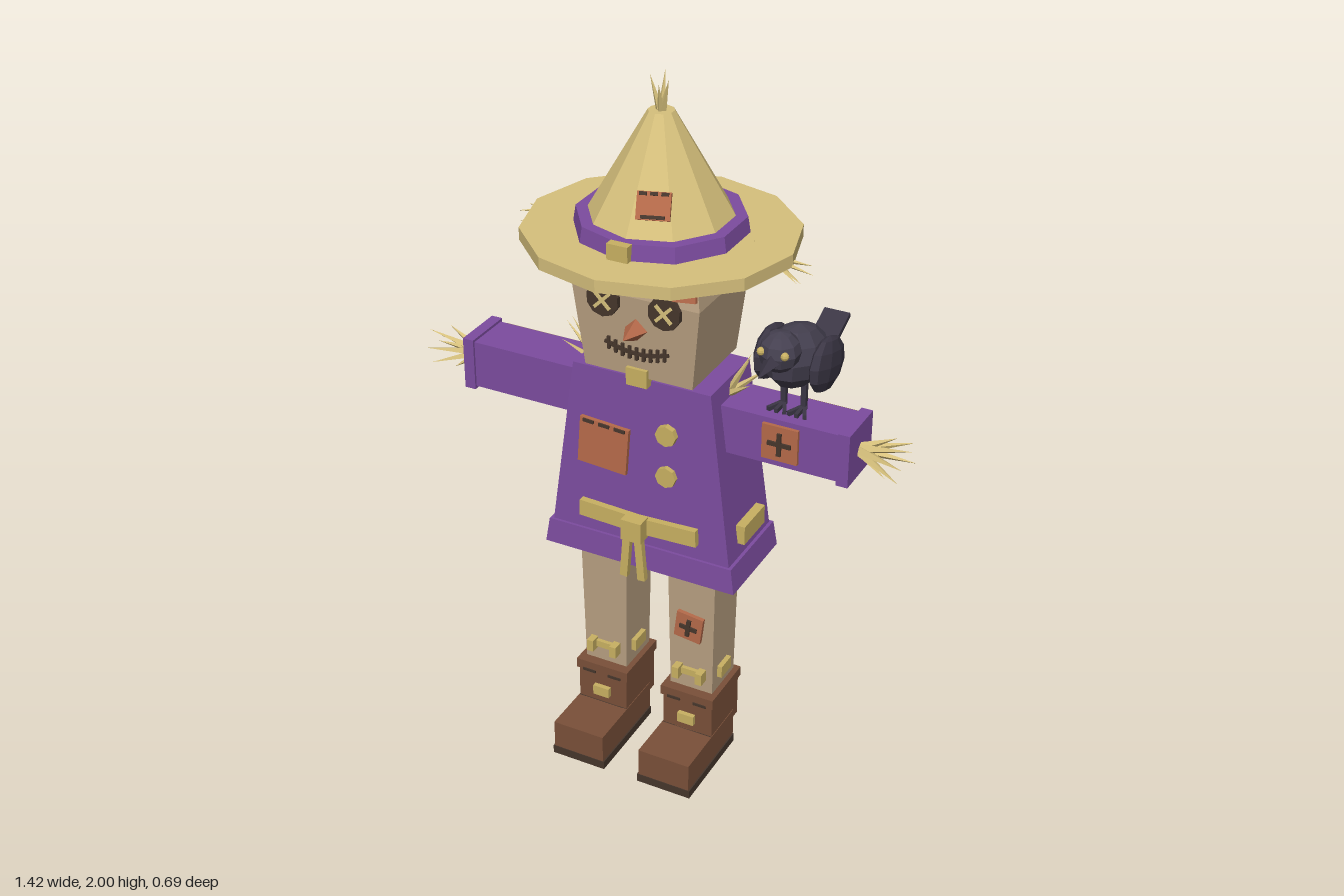
import * as THREE from 'three';

const paint = (name, color) => Object.assign(new THREE.MeshStandardMaterial({ color }), { name });
const M = {
  purple: paint('purple cloth', 0x7c4c9f), straw: paint('straw', 0xd6c07c), rope: paint('rope', 0xc8b062),
  burlap: paint('burlap', 0xb8a081), patch: paint('rust patch', 0xb56a4a), boot: paint('boot leather', 0x7a5039),
  dark: paint('dark thread', 0x46362c), wood: paint('wood', 0x8f7148), crow: paint('crow black', 0x454050),
  wing: paint('wing black', 0x3b3645),
};

function mesh(parent, name, geo, mat, x = 0, y = 0, z = 0, rot = [0, 0, 0]) {
  const m = new THREE.Mesh(geo, mat);
  m.name = name;
  m.position.set(x, y, z);
  m.rotation.set(...rot);
  parent.add(m);
  return m;
}
const box = (p, name, mat, w, h, d, x, y, z, rot) => mesh(p, name, new THREE.BoxGeometry(w, h, d), mat, x, y, z, rot);

// Bakes faceted normals
function facet(geo) {
  const g = geo.index ? geo.toNonIndexed() : geo;
  g.computeVertexNormals();
  return g;
}

// Four-sided tapered block through sections [y, half width, half depth]
function block(p, name, mat, sections, x = 0, z = 0) {
  const n = sections.length - 1;
  const geo = new THREE.BoxGeometry(2, 1, 2, 1, n, 1);
  const a = geo.attributes.position;
  for (let i = 0; i < a.count; i++) {
    const [y, w, d] = sections[Math.round((a.getY(i) + 0.5) * n)];
    a.setXYZ(i, a.getX(i) * w, y, a.getZ(i) * d);
  }
  return mesh(p, name, facet(geo), mat, x, 0, z);
}

// Thin straws from one root to several tips
function tuft(p, name, root, tips, r = 0.011) {
  const g = new THREE.Group();
  g.name = name;
  const a = new THREE.Vector3(...root), up = new THREE.Vector3(0, 1, 0);
  for (const tip of tips) {
    const d = new THREE.Vector3(...tip).sub(a), len = d.length();
    const m = mesh(g, 'straw', facet(new THREE.ConeGeometry(r, len, 4)), M.straw);
    m.position.copy(a).addScaledVector(d, 0.5);
    m.quaternion.setFromUnitVectors(up, d.normalize());
  }
  p.add(g);
}

// Sewn patch with either a cross or rows of stitches
function patch(p, name, w, h, x, y, z, rot, cross) {
  const g = new THREE.Group();
  g.name = name;
  g.position.set(x, y, z);
  g.rotation.set(rot[0], rot[1], rot[2], 'YXZ');
  box(g, 'patchCloth', M.patch, w, h, 0.012, 0, 0, 0);
  if (cross) {
    box(g, 'crossStitch', M.dark, w * 0.65, 0.012, 0.009, 0, 0, 0.007);
    box(g, 'crossStitch', M.dark, 0.012, h * 0.65, 0.009, 0, 0, 0.008);
  } else {
    for (let i = -1; i <= 1; i++) box(g, 'edgeStitch', M.dark, w * 0.22, 0.009, 0.009, i * w * 0.32, h / 2 - 0.006, 0.006);
  }
  p.add(g);
}

const ball = (p, name, mat, rx, ry, rz, x, y, z, rot) =>
  mesh(p, name, facet(new THREE.SphereGeometry(1, 9, 6).scale(rx, ry, rz)), mat, x, y, z, rot);

function addLeg(p, s) {
  const g = new THREE.Group();
  g.name = s > 0 ? 'leftLeg' : 'rightLeg';
  g.position.x = s * 0.135;
  p.add(g);
  block(g, 'leg', M.burlap, [[0.2, 0.064, 0.068], [0.68, 0.072, 0.074]], 0, 0.01);
  // Ankle rope
  for (const e of [-1, 1]) {
    box(g, 'ropeSide', M.rope, 0.014, 0.036, 0.06, e * 0.073, 0.3, 0.02);
    box(g, 'ropeFront', M.rope, 0.02, 0.036, 0.03, e * 0.036, 0.3, 0.095);
    box(g, 'ropeBack', M.rope, 0.02, 0.036, 0.02, e * 0.036, 0.3, -0.066);
  }
  box(g, 'ropeFront', M.rope, 0.07, 0.02, 0.016, 0, 0.3, 0.083);
  box(g, 'ropeBack', M.rope, 0.07, 0.02, 0.012, 0, 0.3, -0.062);
  // Boot
  block(g, 'bootShaft', M.boot, [[0.08, 0.076, 0.084], [0.22, 0.076, 0.084]], 0, 0.018);
  box(g, 'bootCuff', M.boot, 0.162, 0.03, 0.18, 0, 0.225, 0.018);
  for (const e of [-1, 1]) box(g, 'cuffThread', M.dark, 0.04, 0.008, 0.186, e * 0.04, 0.212, 0.018);
  box(g, 'bootFoot', M.boot, 0.156, 0.085, 0.285, 0, 0.067, 0.106);
  box(g, 'bootSole', M.dark, 0.164, 0.025, 0.285, 0, 0.0125, 0.108);
  box(g, 'bootStrap', M.dark, 0.154, 0.009, 0.006, 0, 0.105, 0.102);
  box(g, 'bootBuckle', M.rope, 0.05, 0.03, 0.014, 0, 0.153, 0.109);
}

function addArm(p, s) {
  const g = new THREE.Group();
  g.name = s > 0 ? 'leftArm' : 'rightArm';
  p.add(g);
  box(g, 'sleeve', M.purple, 0.4, 0.135, 0.136, s * 0.345, 1.097, 0);
  box(g, 'cuff', M.purple, 0.032, 0.15, 0.15, s * 0.55, 1.097, 0);
  const tips = [[0.712, 1.14, 0.02], [0.712, 1.085, -0.02], [0.64, 1.035, 0.01], [0.69, 1.055, 0.05],
    [0.69, 1.12, -0.055], [0.7, 1.1, 0.055], [0.66, 1.15, -0.01], [0.68, 1.065, -0.05]];
  tuft(g, 'strawHand', [s * 0.555, 1.097, 0], tips.map(([x, y, z]) => [s * x, y, z]), 0.016);
  tuft(g, 'shoulderStraw', [s * 0.19, 1.16, 0], [[0.26, 1.285, 0.01], [0.295, 1.25, -0.02], [0.275, 1.225, 0.04],
    [0.24, 1.27, -0.04]].map(([x, y, z]) => [s * x, y, z]), 0.013);
}

function addBird(p) {
  const g = new THREE.Group();
  g.name = 'bird';
  g.position.x = 0.375;
  p.add(g);
  ball(g, 'birdBody', M.crow, 0.077, 0.083, 0.128, 0, 1.315, -0.015, [-0.2, 0, 0]);
  ball(g, 'birdHead', M.crow, 0.054, 0.054, 0.058, 0, 1.375, 0.09);
  mesh(g, 'beak', facet(new THREE.ConeGeometry(0.025, 0.09, 4)), M.wing, 0, 1.362, 0.172, [Math.PI / 2 + 0.1, 0, 0]);
  box(g, 'tail', M.wing, 0.072, 0.014, 0.19, 0, 1.277, -0.19, [0.42, 0, 0]);
  for (const s of [-1, 1]) {
    ball(g, 'wing', M.wing, 0.028, 0.075, 0.1, s * 0.076, 1.3, -0.03, [-0.25, 0, 0]);
    ball(g, 'birdEye', M.rope, 0.011, 0.011, 0.011, s * 0.032, 1.386, 0.132);
    box(g, 'birdLeg', M.wing, 0.014, 0.085, 0.014, s * 0.028, 1.208, -0.01);
    for (const t of [-1, 0, 1]) box(g, 'toe', M.wing, 0.01, 0.012, 0.055, s * 0.028 + t * 0.012, 1.171, 0.012, [0, t * 0.4, 0]);
  }
}

export function createModel() {
  const root = new THREE.Group();
  root.name = 'scarecrow';
  for (const s of [-1, 1]) {
    addLeg(root, s);
    addArm(root, s);
  }
  box(root, 'crossPole', M.wood, 1.07, 0.09, 0.045, 0, 1.097, -0.083);

  // Coat with hem
  block(root, 'coat', M.purple, [[0.65, 0.274, 0.128], [1.212, 0.2, 0.114]]);
  block(root, 'coatHem', M.purple, [[0.642, 0.286, 0.138], [0.715, 0.275, 0.134]]);
  patch(root, 'coatPatch', 0.145, 0.135, -0.105, 0.992, 0.127, [-0.03, 0, -0.06], false);
  for (const y of [0.945, 1.07])
    mesh(root, 'button', facet(new THREE.CylinderGeometry(0.03, 0.03, 0.02, 8)), M.rope, 0.08, y, 0.124, [Math.PI / 2, 0, 0]);
  for (const y of [1.065, 1.14]) box(root, 'backStitch', M.rope, 0.14, 0.018, 0.016, 0, y, -0.122);
  box(root, 'backStitch', M.rope, 0.018, 0.09, 0.014, 0, 1.1, -0.121);

  // Rope belt and its knot
  for (const s of [-1, 1]) {
    box(root, 'beltFront', M.rope, 0.175, 0.048, 0.02, s * 0.087, 0.782, 0.133, [0, 0, s * 0.04]);
    box(root, 'beltBack', M.rope, 0.17, 0.046, 0.02, s * 0.083, 0.78, -0.133, [0, 0, s * 0.08]);
    box(root, 'beltSide', M.rope, 0.026, 0.055, 0.125, s * 0.267, 0.782, 0);
    box(root, 'ropeEnd', M.rope, 0.022, 0.15, 0.018, s * 0.021, 0.7, 0.162, [0, 0, s * 0.08]);
  }
  box(root, 'beltKnot', M.rope, 0.06, 0.062, 0.044, 0, 0.778, 0.156);
  patch(root, 'kneePatch', 0.08, 0.082, 0.132, 0.455, 0.088, [0, 0, -0.12], true);
  patch(root, 'sleevePatch', 0.1, 0.1, 0.377, 1.1, 0.072, [0, 0, 0], true);

  // Neck and head
  box(root, 'neck', M.burlap, 0.22, 0.05, 0.17, 0, 1.215, 0);
  box(root, 'neckRope', M.rope, 0.24, 0.016, 0.19, 0, 1.215, 0);
  box(root, 'neckKnot', M.rope, 0.06, 0.05, 0.03, 0, 1.226, 0.125);
  block(root, 'head', M.burlap, [[1.225, 0.155, 0.128], [1.455, 0.18, 0.143], [1.545, 0.162, 0.122]]);
  box(root, 'headTop', M.burlap, 0.2, 0.04, 0.18, 0, 1.55, 0);
  patch(root, 'browPatch', 0.085, 0.075, 0.125, 1.512, 0.137, [-0.2, 0, 0.12], false);

  // Button eyes with crossed threads
  for (const s of [-1, 1]) {
    mesh(root, 'eye', facet(new THREE.CylinderGeometry(0.046, 0.046, 0.02, 10)), M.dark, s * 0.087, 1.436, 0.146, [Math.PI / 2, 0, 0]);
    for (const t of [-1, 1]) box(root, 'eyeThread', M.straw, 0.062, 0.009, 0.006, s * 0.087, 1.436, 0.157, [0, 0, t * Math.PI / 4]);
  }
  mesh(root, 'nose', facet(new THREE.ConeGeometry(0.036, 0.08, 4)), M.patch, 0, 1.365, 0.168, [Math.PI / 2, 0, 0]);
  // Stitched mouth
  for (let i = -4; i <= 4; i++) {
    const y = 1.295 + i * i * 0.0009;
    box(root, 'mouthLine', M.dark, 0.024, 0.009, 0.008, i * 0.02, y, 0.135, [0, 0, i * 0.05]);
    box(root, 'mouthStitch', M.dark, 0.008, 0.036, 0.008, i * 0.02, y, 0.136);
  }

  // Hat
  mesh(root, 'hatBrim', facet(new THREE.CylinderGeometry(0.362, 0.362, 0.034, 12).scale(1, 1, 0.957)), M.straw, 0, 1.578, 0);
  mesh(root, 'hatCrown', facet(new THREE.CylinderGeometry(0.034, 0.215, 0.315, 10)), M.straw, 0, 1.7475, 0);
  mesh(root, 'hatBand', facet(new THREE.CylinderGeometry(0.219, 0.226, 0.044, 10)), M.purple, 0, 1.615, 0);
  box(root, 'hatBuckle', M.rope, 0.058, 0.044, 0.024, 0, 1.616, 0.222);
  patch(root, 'hatPatch', 0.085, 0.07, 0.052, 1.715, 0.14, [-0.48, 0.32, 0], false);
  box(root.getObjectByName('hatPatch'), 'edgeStitch', M.dark, 0.06, 0.009, 0.009, 0, -0.028, 0.006);
  tuft(root, 'hatTipStraw', [0, 1.89, 0], [[-0.026, 1.995, 0.01], [0, 2, -0.02], [0.028, 1.99, 0.015], [0.008, 1.98, 0.03]], 0.013);

  // Straw hair and brim wisps
  for (const s of [-1, 1]) {
    const side = (pts) => pts.map(([x, y, z]) => [s * x, y, z]);
    tuft(root, 'brimStraw', [s * 0.3, 1.575, 0], side([[0.42, 1.55, 0], [0.4, 1.535, 0.03], [0.405, 1.56, -0.03], [0.38, 1.522, 0.01]]));
    tuft(root, 'sideHair', [s * 0.165, 1.52, 0], side([[0.28, 1.53, 0.02], [0.25, 1.6, -0.02], [0.265, 1.56, -0.01]]));
    tuft(root, 'backHair', [s * 0.14, 1.515, -0.11], side([[0.2, 1.55, -0.25], [0.25, 1.545, -0.2], [0.23, 1.53, -0.22]]));
  }

  addBird(root);
  return root;
}
